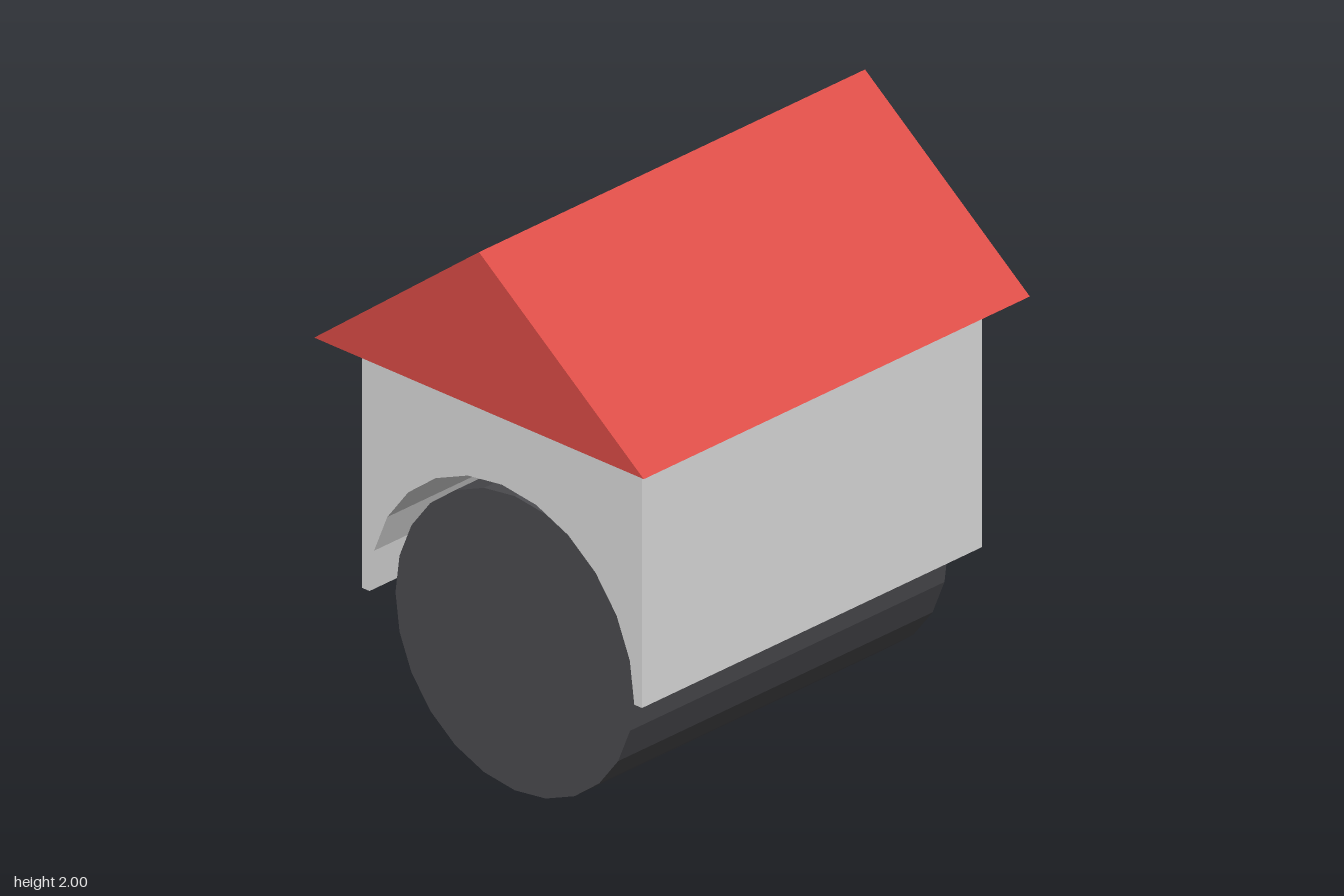
import * as THREE from 'three';

const flat = (name, color, side = THREE.FrontSide) =>
  new THREE.MeshStandardMaterial({ name, color, side, flatShading: true });

function part(name, geometry, material) {
  const mesh = new THREE.Mesh(geometry, material);
  mesh.name = name;
  return mesh;
}

export function createModel() {
  const red = flat('roof red', 0xde4d47, THREE.DoubleSide);
  const grey = flat('wall grey', 0xdedede);
  const dark = flat('drum charcoal', 0x4c4c50);
  const model = new THREE.Group();
  model.name = 'roofedDrum';

  // 24-sided drum lying along x
  const drumR = 0.53;
  const drum = part('drum', new THREE.CylinderGeometry(drumR, drumR, 1.466, 24), dark);
  drum.rotation.z = Math.PI / 2;
  drum.position.y = drumR;
  model.add(drum);

  // Housing: block with an arched tunnel, extruded along x
  const w = 0.622, base = 0.535, top = 1.44, archR = 0.588, depth = 1.586;
  const profile = new THREE.Shape();
  profile.moveTo(-w, base);
  for (let i = 0; i <= 12; i++) {
    const a = Math.PI - (i * Math.PI) / 12;
    profile.lineTo(Math.cos(a) * archR, base + Math.sin(a) * archR);
  }
  profile.lineTo(w, base);
  profile.lineTo(w, top);
  profile.lineTo(-w, top);
  profile.closePath();
  const housing = new THREE.ExtrudeGeometry(profile, { depth, bevelEnabled: false });
  housing.translate(0, 0, -depth / 2).rotateY(Math.PI / 2);
  model.add(part('housing', housing, grey));

  // Gabled roof shell, open underneath
  const x = 0.9, z = 0.732, eave = 1.437, ridge = 2;
  const roof = new THREE.BufferGeometry();
  roof.setAttribute('position', new THREE.Float32BufferAttribute([
    -x, eave, z, x, eave, z, x, eave, -z, -x, eave, -z, -x, ridge, 0, x, ridge, 0,
  ], 3));
  roof.setIndex([0, 1, 5, 0, 5, 4, 2, 3, 4, 2, 4, 5, 1, 2, 5, 3, 0, 4]);
  const roofFaces = roof.toNonIndexed();
  roofFaces.computeVertexNormals();
  model.add(part('roof', roofFaces, red));

  return model;
}
